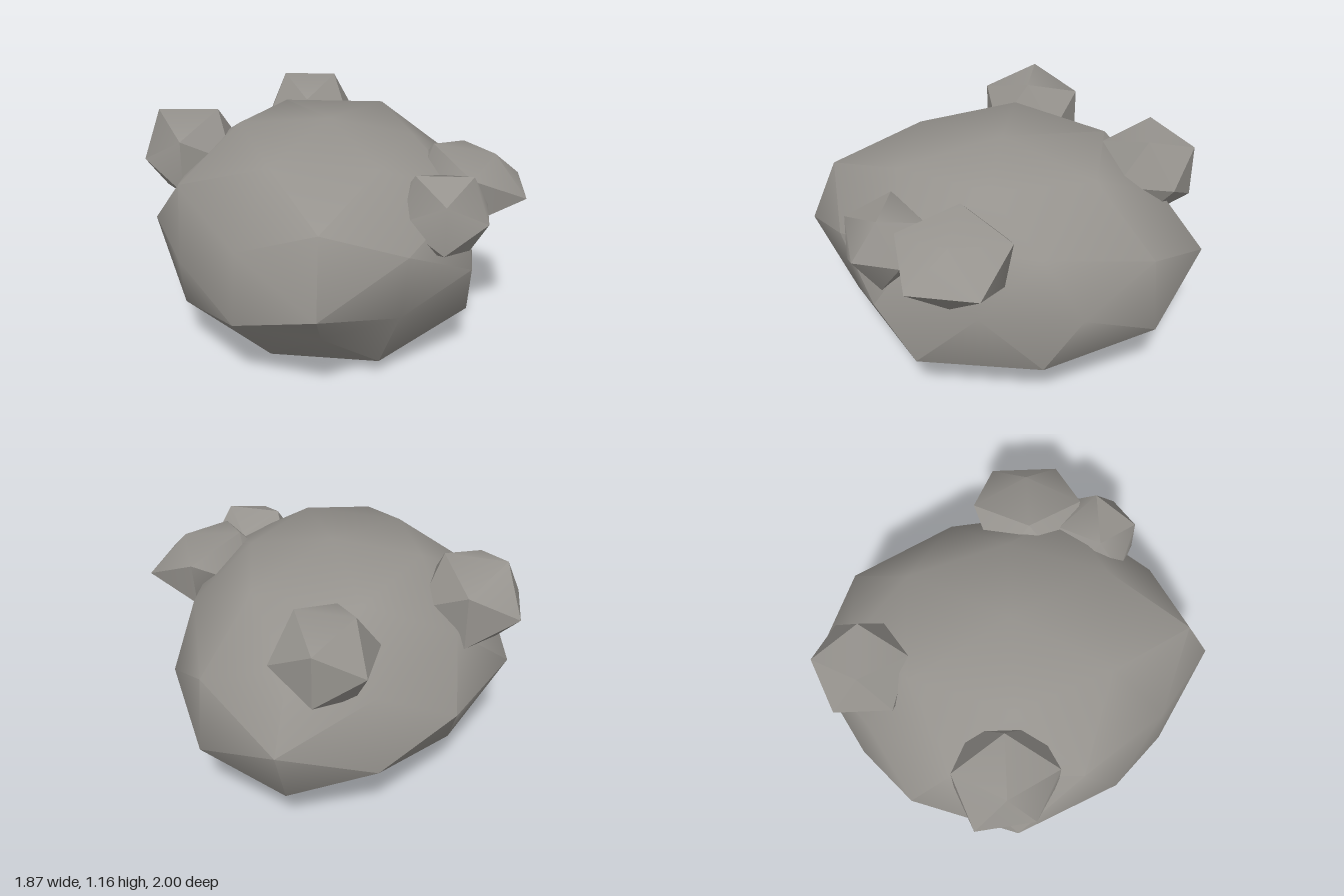
import * as THREE from 'three';
import { toCreasedNormals } from 'three/addons/utils/BufferGeometryUtils.js';

const stone = new THREE.MeshStandardMaterial({ color: 0x96938e });
stone.name = 'stone grey';

// Bulges and dents of the main boulder: direction, then radius factor
const boulderBumps = [
  [1, 0, 0, 0.88], [-1, 0, 0, 1.085], [0, 1, 0, 0.92], [0, -1, 0, 0.99],
  [0, 0, 1, 1.05], [0, 0, -1, 1.055],
  [0, 0.526, 0.85, 1.06], [0, -0.526, 0.85, 0.86],
  [0, 0.526, -0.85, 0.96], [0, -0.526, -0.85, 1.06],
  [0.526, 0.85, 0, 0.94], [-0.526, 0.85, 0, 1.02], [-0.526, -0.85, 0, 0.96],
  [0.85, 0, 0.526, 0.98], [0.85, 0, -0.526, 0.95],
  [-0.85, 0, 0.526, 0.97], [-0.85, 0, -0.526, 1.02],
  [0.5, 0.309, 0.809, 0.94], [0.5, -0.309, 0.809, 0.87],
  [-0.5, 0.309, 0.809, 0.93], [-0.5, -0.309, 0.809, 0.97],
  [0.5, -0.309, -0.809, 1.04], [-0.5, 0.309, -0.809, 0.91],
  [0.809, 0.5, -0.309, 0.93], [0.809, -0.5, 0.309, 1.04], [0.809, -0.5, -0.309, 1.01],
  [-0.809, 0.5, 0.309, 1.05], [-0.809, -0.5, 0.309, 1.05], [-0.809, -0.5, -0.309, 0.99],
  [0.309, 0.809, 0.5, 0.98], [-0.309, 0.809, 0.5, 0.97],
  [0.309, -0.809, 0.5, 1.05], [-0.309, -0.809, 0.5, 1.02],
];

// Faceted stone: an icosahedron stretched to size, with optional bumps
function rock(name, detail, crease, size, centre, bumps = []) {
  const geo = new THREE.IcosahedronGeometry(1, detail);
  geo.deleteAttribute('uv');
  const pos = geo.attributes.position;
  const v = new THREE.Vector3();
  const snap = (n) => Math.round(n * 1e4) / 1e4;
  for (let i = 0; i < pos.count; i++) {
    v.fromBufferAttribute(pos, i).normalize();
    const bump = bumps.find(([x, y, z]) => v.x * x + v.y * y + v.z * z > 0.98);
    const m = bump ? bump[3] : 1;
    pos.setXYZ(i, snap(v.x * size[0] * m), snap(v.y * size[1] * m), snap(v.z * size[2] * m));
  }
  const mesh = new THREE.Mesh(toCreasedNormals(geo, crease), stone);
  mesh.name = name;
  mesh.position.set(...centre);
  return mesh;
}

export function createModel() {
  const group = new THREE.Group();
  group.name = 'boulder';
  group.add(
    rock('mainBoulder', 1, 0.8, [0.82, 0.6, 0.95], [0, 0.598, 0], boulderBumps),
    rock('leftLargeStone', 0, 0.7, [0.315, 0.24, 0.31], [0.67, 0.865, 0.11], [
      [0.526, 0.85, 0, 0.78], [0.526, -0.85, 0, 0.78], [-0.526, -0.85, 0, 0.95],
      [0, -0.526, 0.85, 0.86], [0, -0.526, -0.85, 0.85],
    ]),
    rock('leftFrontStone', 0, 0.7, [0.25, 0.215, 0.22], [0.54, 0.86, 0.45], [
      [0, -0.526, 0.85, 1.05], [0.85, 0, 0.526, 0.93], [-0.85, 0, 0.526, 0.93],
    ]),
    rock('rightStone', 0, 0.7, [0.275, 0.25, 0.285], [-0.7, 0.95, -0.05], [
      [-0.85, 0, 0.526, 0.86], [-0.526, -0.85, 0, 0.88], [0.526, 0.85, 0, 1.03],
    ]),
    rock('backStone', 0, 0.7, [0.255, 0.245, 0.26], [-0.145, 0.957, -0.695]),
  );
  return group;
}
